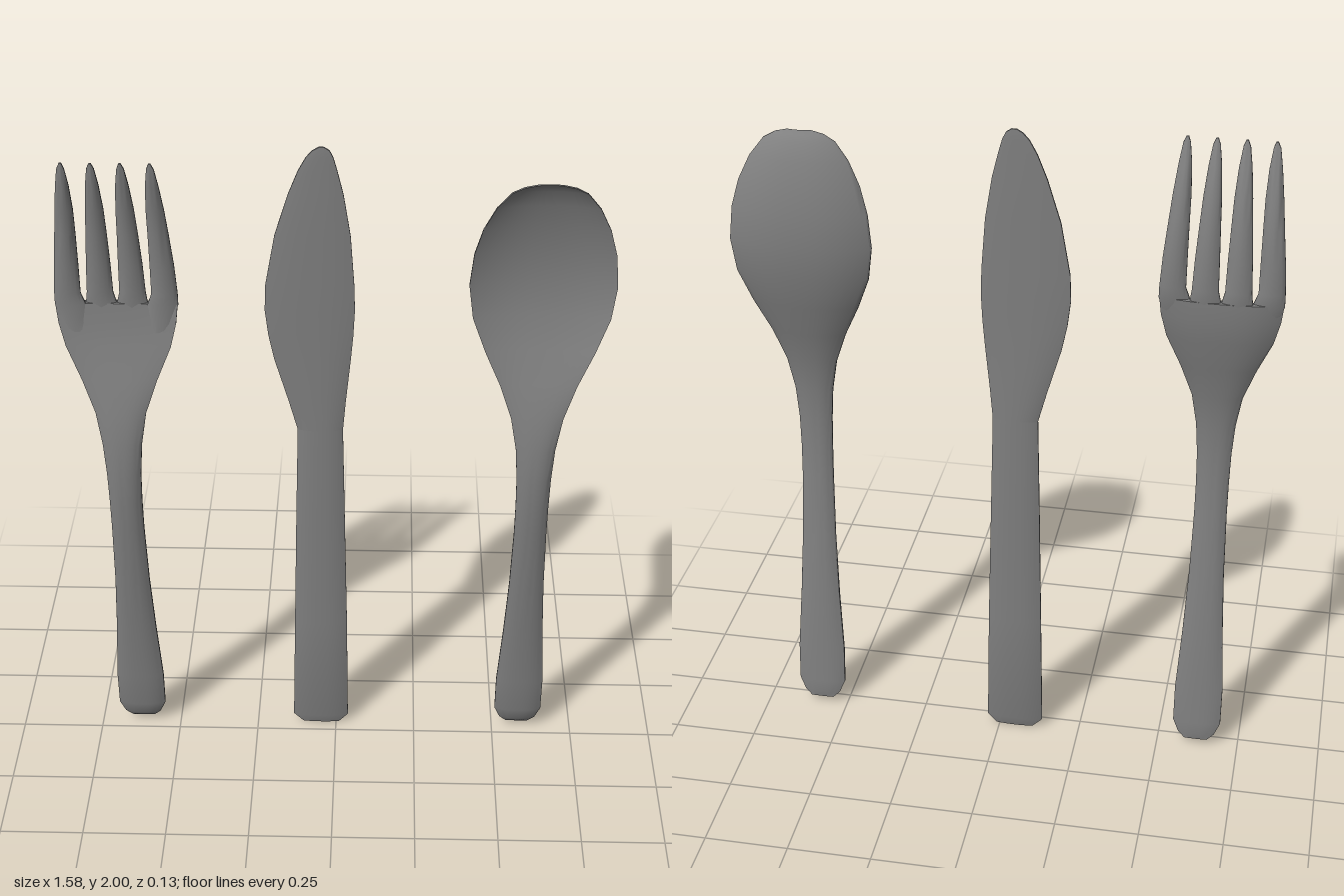
import * as THREE from 'three';
import { toCreasedNormals } from 'three/addons/utils/BufferGeometryUtils.js';

const material = new THREE.MeshStandardMaterial({ color: 0x808080 });

// Lofts sections [y, xLow, xHigh, zEdge, zFront, zBack] into a closed solid.
// The power sets how flat the faces are across the width.
function loft(name, sections, power, edge, n = 12) {
  const pos = [], idx = [], ring = 2 * (n + 1);
  for (const [y, x0, x1, zE, zF, zB] of sections) {
    for (let k = 0; k < ring; k++) {
      const front = k <= n;
      const u = -Math.cos(Math.PI * (front ? k : ring - 1 - k) / n);
      const bulge = 1 - Math.abs(u) ** power;
      const rim = zE + (front ? edge : -edge);
      pos.push((x0 + x1) / 2 + u * (x1 - x0) / 2, y, rim + ((front ? zF : zB) - rim) * bulge);
    }
  }
  const last = (sections.length - 1) * ring;
  for (let s = 0; s < last; s += ring) {
    for (let k = 0; k < ring; k++) {
      const a = s + k, b = s + (k + 1) % ring;
      idx.push(a, b, b + ring, a, b + ring, a + ring);
    }
  }
  // End caps join the front row to the back row
  for (let k = 0; k < n; k++) {
    const a = k, b = k + 1, c = ring - 2 - k, d = ring - 1 - k;
    idx.push(a, c, b, a, d, c);
    idx.push(last + a, last + b, last + c, last + a, last + c, last + d);
  }
  const geo = new THREE.BufferGeometry();
  geo.setAttribute('position', new THREE.Float32BufferAttribute(pos, 3));
  geo.setIndex(idx);
  const mesh = new THREE.Mesh(toCreasedNormals(geo, 1.1), material);
  mesh.name = name;
  return mesh;
}

// Symmetric sections [y, halfWidth, zEdge, zFront, zBack] about a centre line
const about = (cx, rows) => rows.map(([y, w, ...z]) => [y, cx - w, cx + w, ...z]);

// Handle shared by fork and spoon
const handle = [
  [0.02, 0.035, -0.041, -0.036, -0.046],
  [0.04, 0.056, -0.036, -0.022, -0.049],
  [0.08, 0.073, -0.031, -0.013, -0.046],
  [0.2, 0.073, -0.022, -0.004, -0.038],
  [0.4, 0.061, -0.004, 0.014, -0.022],
  [0.6, 0.052, 0.016, 0.035, -0.002],
  [0.8, 0.048, 0.036, 0.055, 0.018],
  [0.9, 0.048, 0.043, 0.063, 0.025],
  [1.0, 0.05, 0.046, 0.066, 0.028],
  [1.1, 0.057, 0.043, 0.062, 0.025],
];

function makeSpoon() {
  const rows = [
    ...handle,
    [1.2, 0.075, 0.034, 0.046, 0.012],
    [1.3, 0.11, 0.019, 0.019, -0.012],
    [1.4, 0.156, 0.001, -0.014, -0.039],
    [1.5, 0.194, -0.014, -0.038, -0.06],
    [1.6, 0.207, -0.019, -0.048, -0.069],
    [1.7, 0.197, -0.014, -0.043, -0.064],
    [1.78, 0.175, -0.004, -0.03, -0.05],
    [1.85, 0.142, 0.007, -0.013, -0.031],
    [1.9, 0.103, 0.017, 0.004, -0.009],
    [1.918, 0.07, 0.021, 0.016, 0.006],
    [1.926, 0.035, 0.022, 0.022, 0.016],
  ];
  const spoon = new THREE.Group();
  spoon.name = 'spoon';
  spoon.add(loft('spoonBody', about(0.58, rows), 2.4, 0.004, 16));
  return spoon;
}

function makeFork() {
  const fork = new THREE.Group();
  fork.name = 'fork';
  const cx = -0.62;
  const rows = [
    ...handle,
    [1.2, 0.073, 0.032, 0.048, 0.012],
    [1.3, 0.108, 0.015, 0.023, -0.011],
    [1.4, 0.15, -0.004, -0.003, -0.033],
    [1.47, 0.167, -0.014, -0.015, -0.044],
    [1.527, 0.173, -0.021, -0.02, -0.046],
  ];
  fork.add(loft('forkBody', about(cx, rows), 2.5, 0.004, 16));

  // Tines, rooted inside the body: [y, centre offset of the outer pair, halfWidth, z, halfDepth]
  const tine = [
    [1.44, 0.122, 0.022, -0.024, 0.004],
    [1.48, 0.127, 0.033, -0.029, 0.009],
    [1.525, 0.131, 0.0435, -0.032, 0.0135],
    [1.56, 0.137, 0.037, -0.031, 0.015],
    [1.65, 0.134, 0.034, -0.026, 0.017],
    [1.75, 0.129, 0.029, -0.016, 0.017],
    [1.83, 0.125, 0.025, -0.002, 0.015],
    [1.91, 0.122, 0.018, 0.017, 0.012],
    [1.965, 0.121, 0.01, 0.031, 0.006],
    [1.982, 0.12, 0.003, 0.035, 0.003],
  ];
  for (const side of [-1, 1]) {
    for (const [name, ratio, lift] of [['outerTine', 1, 0.012], ['innerTine', 0.335, 0]]) {
      const sections = tine.map(([y, off, w, z, d], i) => {
        const x = cx + side * off * ratio, zc = z + lift * (1 - i / 9);
        return [y, x - w, x + w, zc, zc + d, zc - d];
      });
      fork.add(loft(name, sections, 2.2, 0.003, 8));
    }
  }
  return fork;
}

function makeKnife() {
  const knife = new THREE.Group();
  knife.name = 'knife';
  const z = -0.046;
  const addPart = (name, rows) => knife.add(
    loft(name, rows.map(([y, x0, x1, d]) => [y, x0, x1, z, z + d, z - d]), 2.5, 0.003));

  // Handle with chamfered butt: [y, xLow, xHigh, halfDepth]
  const joint = [1.105, -0.113, 0.02, 0.015];
  addPart('knifeHandle', [
    [0, -0.105, 0.01, 0.007],
    [0.03, -0.135, 0.038, 0.015],
    [0.4, -0.128, 0.034, 0.016],
    [0.8, -0.12, 0.026, 0.016],
    joint,
  ]);

  // Blade, bellied toward the low-x side
  addPart('knifeBlade', [
    joint,
    [1.2, -0.138, 0.028, 0.014],
    [1.34, -0.178, 0.042, 0.013],
    [1.42, -0.194, 0.049, 0.012],
    [1.5, -0.203, 0.053, 0.012],
    [1.58, -0.2, 0.051, 0.011],
    [1.735, -0.172, 0.04, 0.01],
    [1.86, -0.133, 0.02, 0.008],
    [1.93, -0.105, 0.003, 0.006],
    [1.97, -0.083, -0.008, 0.005],
    [1.99, -0.065, -0.018, 0.004],
    [2, -0.048, -0.033, 0.003],
  ]);
  return knife;
}

export function createModel() {
  const model = new THREE.Group();
  model.name = 'cutlerySet';
  model.add(makeFork(), makeKnife(), makeSpoon());
  return model;
}
